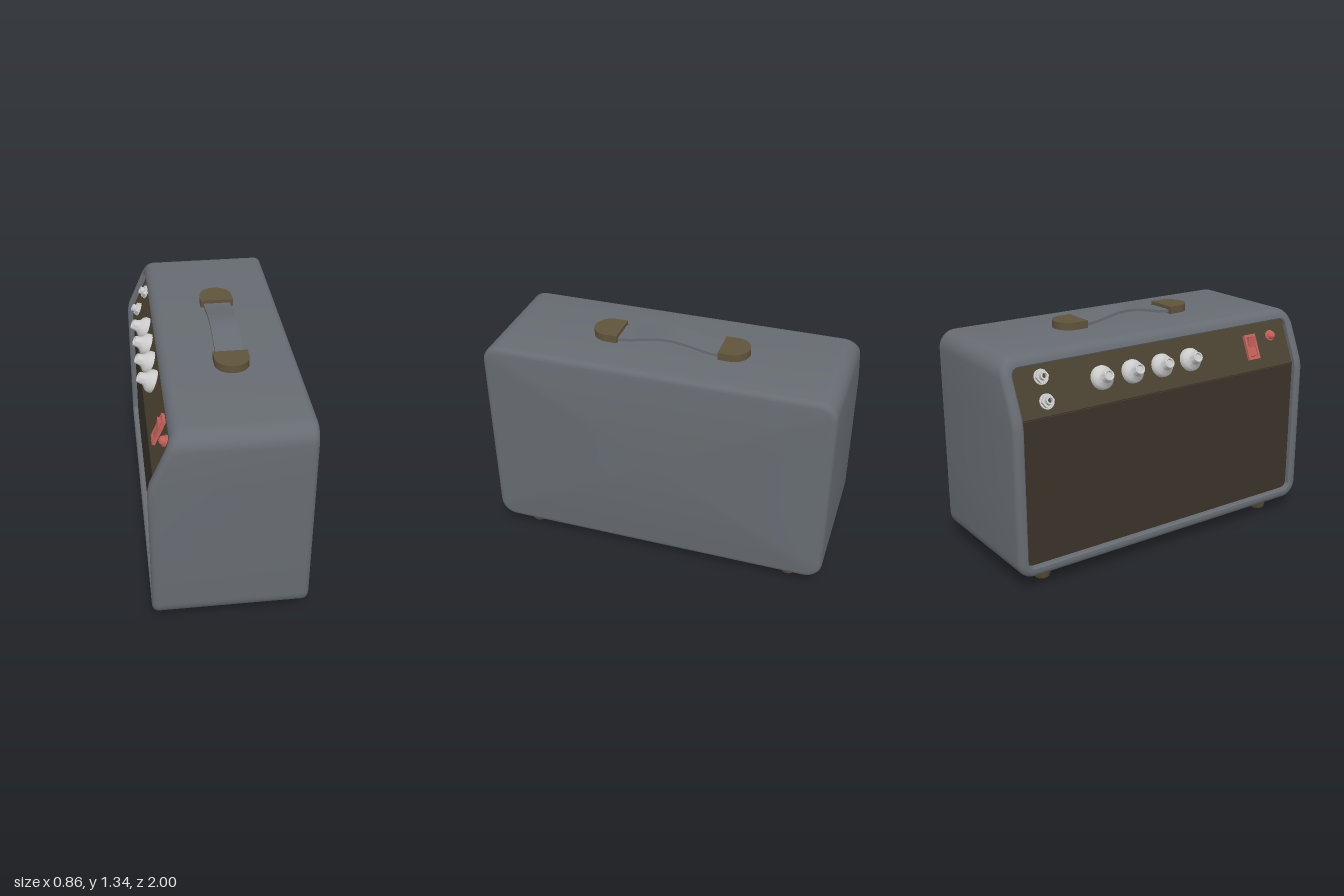
import * as THREE from 'three';
import { toCreasedNormals } from 'three/addons/utils/BufferGeometryUtils.js';
import { RoundedBoxGeometry } from 'three/addons/geometries/RoundedBoxGeometry.js';

const mat = (color, side = THREE.FrontSide) => new THREE.MeshStandardMaterial({ color, side });
const BODY = mat(0x676c72, THREE.DoubleSide), BROWN = mat(0x5f533c), PANEL = mat(0x4a4131),
  GRILLE = mat(0x3a332b), RED = mat(0xc2605a), METAL = mat(0xcccccc), DARK = mat(0x4a4a4a);

const SLOPE = 0.44, BEND = 0.95, TILT = Math.atan(SLOPE);
const frontX = (y) => -0.43 + SLOPE * Math.max(0, y - BEND);

function add(parent, name, geometry, material, x = 0, y = 0, z = 0) {
  const mesh = new THREE.Mesh(geometry, material);
  mesh.name = name;
  mesh.position.set(x, y, z);
  parent.add(mesh);
  return mesh;
}

// Rounded rectangle outline of the cabinet in (z, y), pulled in by an inset
function outline(inset) {
  const r = 0.1 - inset, pts = [];
  const corner = (z, y, start) => {
    for (let i = 0; i <= 8; i++) {
      const t = start + (i / 8) * Math.PI / 2;
      pts.push([z + r * Math.cos(t), y + r * Math.sin(t)]);
    }
  };
  const sideYs = [0.5, 0.925, 0.975];
  corner(0.9, 0.175, -Math.PI / 2);
  sideYs.forEach((y) => pts.push([1 - inset, y]));
  corner(0.9, 1.17, 0);
  corner(-0.9, 1.17, Math.PI / 2);
  sideYs.slice().reverse().forEach((y) => pts.push([-1 + inset, y]));
  corner(-0.9, 0.175, Math.PI);
  return pts;
}

// Cabinet shell: rings run from the closed side over the walls into the recess
function cabinetGeometry() {
  const F = 0.035, rings = [];
  rings.push(outline(0).map(() => [0.43, 0.67, 0]));
  for (let i = 0; i <= 4; i++) {
    const t = (i / 4) * Math.PI / 2;
    rings.push(outline(F * (1 - Math.sin(t))).map(([z, y]) => [0.43 - F * (1 - Math.cos(t)), y, z]));
  }
  const frontRing = (inset, depth) => rings.push(outline(inset).map(([z, y]) => [frontX(y) + depth, y, z]));
  for (let i = 0; i <= 4; i++) {
    const t = (i / 4) * Math.PI / 2;
    frontRing(F * (1 - Math.cos(t)), F * (1 - Math.sin(t)));
  }
  frontRing(0.052, 0.002);
  frontRing(0.06, 0.01);
  frontRing(0.06, 0.08);

  const n = rings[0].length, index = [];
  for (let i = 0; i < rings.length - 1; i++) {
    for (let j = 0; j < n; j++) {
      const k = (j + 1) % n, a = i * n + j, b = i * n + k, c = a + n, d = b + n;
      index.push(a, b, c, b, d, c);
    }
  }
  const geo = new THREE.BufferGeometry();
  geo.setAttribute('position', new THREE.Float32BufferAttribute(rings.flat(2), 3));
  geo.setIndex(index);
  return toCreasedNormals(geo, 0.6);
}

// Turned part whose axis points out of the control panel (local -x)
function turned(profile, sides = 24) {
  const geo = new THREE.LatheGeometry(profile.map(([r, h]) => new THREE.Vector2(r, h)), sides);
  return toCreasedNormals(geo, 0.6).rotateZ(Math.PI / 2);
}

function createControls() {
  const g = new THREE.Group();
  g.name = 'controlPanel';
  g.position.set(-0.395, BEND, 0);
  g.rotation.z = -TILT;
  add(g, 'panelPlate', new THREE.BoxGeometry(0.02, 0.3, 1.89), PANEL, 0.01, 0.148, 0);

  // Four skirted knobs with dished tips
  const knob = turned([[0.066, 0], [0.066, 0.02], [0.058, 0.034], [0.04, 0.048], [0.034, 0.06],
    [0.03, 0.088], [0.026, 0.092], [0.021, 0.09], [0.017, 0.082], [0, 0.082]]);
  for (let i = 0; i < 4; i++) add(g, 'knob', knob, METAL, 0, 0.143, -0.415 + i * 0.2);

  // Two input sockets: washer, hex nut and hollow collar
  const washer = turned([[0.042, 0], [0.042, 0.008], [0, 0.008]]);
  const nut = turned([[0.038, 0.008], [0.038, 0.024], [0, 0.024]], 6);
  const collar = turned([[0.023, 0.02], [0.023, 0.046], [0.014, 0.046], [0.014, 0.026]], 16);
  const hole = turned([[0.015, 0.027], [0, 0.027]], 16);
  for (const y of [0.08, 0.21]) {
    const jack = new THREE.Group();
    jack.name = 'inputSocket';
    jack.position.set(0, y, -0.77);
    add(jack, 'washer', washer, METAL);
    add(jack, 'nut', nut, METAL);
    add(jack, 'collar', collar, METAL);
    add(jack, 'socketHole', hole, DARK);
    g.add(jack);
  }

  // Rocker switch: frame with a two-sided rocker
  const frame = new THREE.Shape();
  frame.moveTo(-0.042, -0.075).lineTo(0.042, -0.075).lineTo(0.042, 0.075).lineTo(-0.042, 0.075).closePath();
  const cut = new THREE.Path();
  cut.moveTo(-0.028, -0.058).lineTo(-0.028, 0.058).lineTo(0.028, 0.058).lineTo(0.028, -0.058).closePath();
  frame.holes.push(cut);
  const frameGeo = new THREE.ExtrudeGeometry(frame, { depth: 0.018, bevelEnabled: false }).rotateY(-Math.PI / 2);
  add(g, 'switchFrame', frameGeo, RED, 0, 0.143, 0.648);
  const rocker = new THREE.Shape();
  rocker.moveTo(0, -0.055).lineTo(0, 0.055).lineTo(-0.036, 0.055).lineTo(-0.016, 0).lineTo(-0.014, -0.055).closePath();
  const rockerGeo = new THREE.ExtrudeGeometry(rocker, { depth: 0.05, bevelEnabled: false });
  add(g, 'switchRocker', rockerGeo, RED, 0, 0.143, 0.623);

  // Pilot lamp
  add(g, 'pilotLamp', turned([[0.032, 0], [0.032, 0.01], [0.025, 0.012], [0.024, 0.022],
    [0.018, 0.032], [0.009, 0.037], [0, 0.038]]), RED, 0, 0.19, 0.812);
  return g;
}

function createHandle() {
  const g = new THREE.Group();
  g.name = 'handle';
  g.position.set(0.075, 1.265, 0);

  // Half-round end caps
  const cap = new THREE.Shape();
  cap.moveTo(-0.095, 0.29).lineTo(0.095, 0.29).lineTo(0.095, 0.355);
  cap.absarc(0, 0.355, 0.095, 0, Math.PI, false);
  cap.closePath();
  const capGeo = toCreasedNormals(new THREE.ExtrudeGeometry(cap, {
    depth: 0.048, bevelEnabled: false, curveSegments: 20,
  }), 0.6).rotateX(-Math.PI / 2);
  add(g, 'handleCap', capGeo, BROWN);
  add(g, 'handleCap', capGeo, BROWN).rotation.y = Math.PI;

  // Strap: a flat band bent into a shallow arch
  const strap = new RoundedBoxGeometry(0.154, 0.016, 0.62, 2, 0.005);
  const band = new THREE.BoxGeometry(0.154, 0.016, 0.62, 1, 1, 24);
  strap.dispose();
  const p = band.attributes.position;
  for (let i = 0; i < p.count; i++) {
    p.setY(i, p.getY(i) + 0.02 + 0.042 * (0.5 + 0.5 * Math.cos((p.getZ(i) / 0.31) * Math.PI)));
  }
  add(g, 'handleStrap', toCreasedNormals(band, 0.6), BODY);
  return g;
}

export function createModel() {
  const model = new THREE.Group();
  model.name = 'amplifier';
  add(model, 'cabinet', cabinetGeometry(), BODY);
  add(model, 'speakerGrille', new THREE.BoxGeometry(0.02, 0.83, 1.89), GRILLE, -0.385, 0.54, 0);
  model.add(createControls(), createHandle());

  // Tapered feet
  const foot = toCreasedNormals(new THREE.LatheGeometry([[0, 0], [0.038, 0], [0.044, 0.006],
    [0.06, 0.08], [0, 0.08]].map(([r, y]) => new THREE.Vector2(r, y)), 20), 0.6);
  for (const x of [-0.3, 0.31]) for (const z of [-0.795, 0.795]) add(model, 'foot', foot, BROWN, x, 0, z);
  return model;
}
